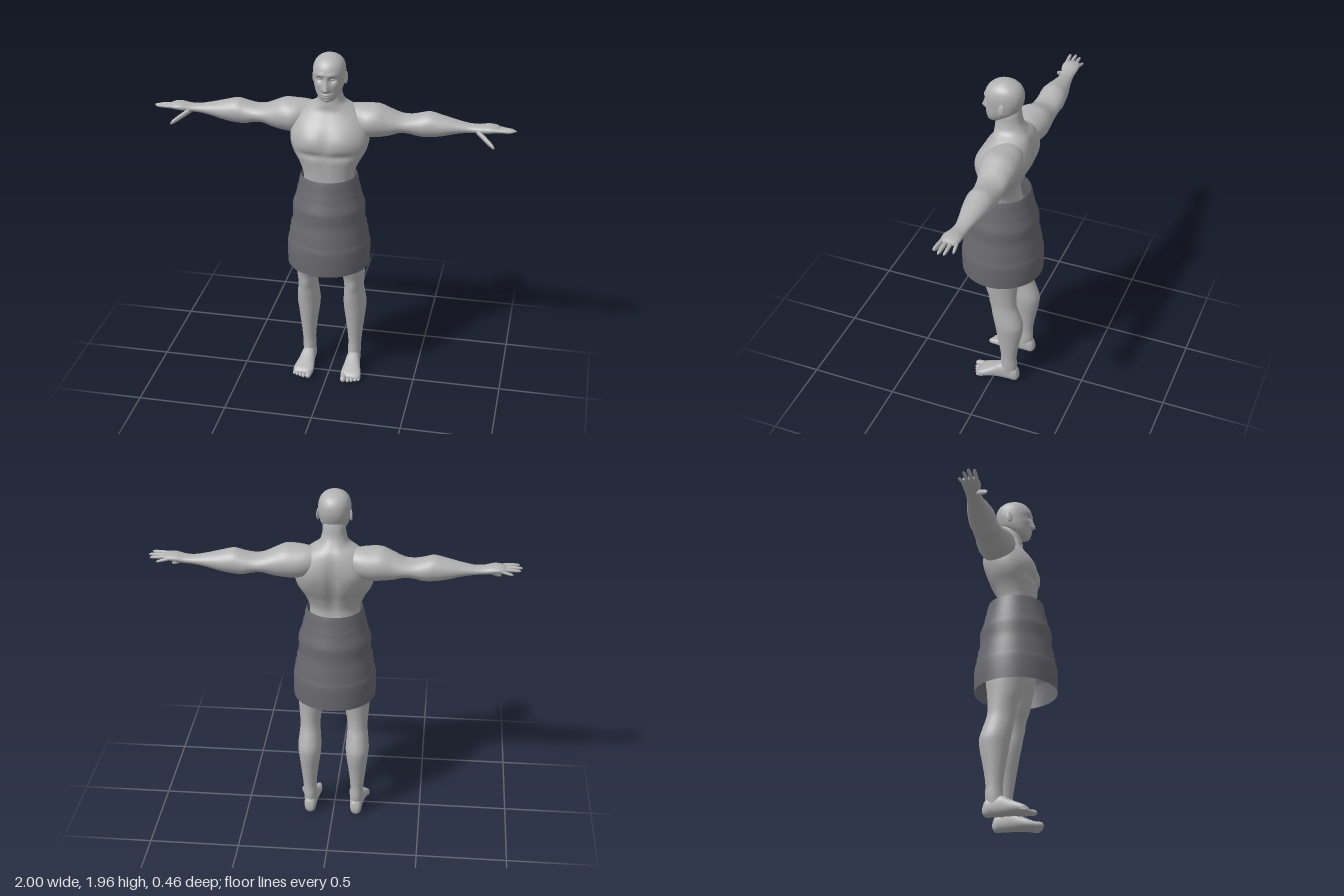
import * as THREE from 'three';

const skin = new THREE.MeshStandardMaterial({ color: 0xb2b2b2 });
skin.name = 'skin grey';
const cloth = new THREE.MeshStandardMaterial({ color: 0x69686e, side: THREE.DoubleSide });
cloth.name = 'cloth dark grey';

// Soft bump centred on zero
const bump = (d, w) => Math.exp(-(d * d) / (w * w));

// Smooth body through box-bounded sections [s, aMin, aMax, bMin, bMax] along an axis.
// Axis x: a = y, b = z.  Axis y: a = x, b = z.  Axis z: a = x, b = y.
function loft(name, axis, rows, { side = 1, power = 2, radial = 32, steps = 5, shape } = {}) {
  const curve = new THREE.CubicInterpolant(rows.map(r => r[0]), rows.flatMap(r => r.slice(1)), 4);
  const pos = [], index = [];
  const put = (s, a, b) => {
    const p = axis === 'x' ? new THREE.Vector3(s, a, b)
      : axis === 'y' ? new THREE.Vector3(a, s, b) : new THREE.Vector3(a, b, s);
    if (shape) shape(p);
    pos.push(p.x * side, p.y, p.z);
  };
  const sampled = [];
  for (let i = 0; i < rows.length - 1; i++)
    for (let k = 0; k < steps; k++) sampled.push(THREE.MathUtils.lerp(rows[i][0], rows[i + 1][0], k / steps));
  sampled.push(rows[rows.length - 1][0]);
  const round = v => Math.sign(v) * Math.abs(v) ** (2 / power);
  for (const s of sampled) {
    const [a0, a1, b0, b1] = curve.evaluate(s);
    for (let j = 0; j < radial; j++) {
      const t = j / radial * Math.PI * 2;
      put(s, (a0 + a1) / 2 + (a1 - a0) / 2 * round(Math.cos(t)), (b0 + b1) / 2 + (b1 - b0) / 2 * round(Math.sin(t)));
    }
  }
  const flip = (axis === 'y') !== (side < 0);
  const tri = (a, b, c) => flip ? index.push(a, c, b) : index.push(a, b, c);
  const n = sampled.length;
  for (let i = 0; i < n - 1; i++)
    for (let j = 0; j < radial; j++) {
      const k = (j + 1) % radial, p = i * radial, q = p + radial;
      tri(p + j, p + k, q + j);
      tri(p + k, q + k, q + j);
    }
  // End caps
  for (const r of [rows[0], rows[rows.length - 1]]) put(r[0], (r[1] + r[2]) / 2, (r[3] + r[4]) / 2);
  for (let j = 0; j < radial; j++) {
    const k = (j + 1) % radial, q = (n - 1) * radial;
    tri(n * radial, k, j);
    tri(n * radial + 1, q + j, q + k);
  }
  const geo = new THREE.BufferGeometry();
  geo.setAttribute('position', new THREE.Float32BufferAttribute(pos, 3));
  geo.setIndex(index);
  geo.computeVertexNormals();
  const mesh = new THREE.Mesh(geo, skin);
  mesh.name = name;
  return mesh;
}

// Tapered finger or toe with a rounded tip
function digit(name, axis, from, to, r, side) {
  const rows = [[0, 1], [0.45, 0.95], [0.8, 0.82], [0.95, 0.5], [1, 0.12]].map(([t, k]) => {
    const [x, y, z] = from.map((v, i) => v + (to[i] - v) * t), w = r * k;
    return axis === 'x' ? [x, y - w, y + w, z - w, z + w] : [z, x - w, x + w, y - w, y + w];
  });
  return loft(name, axis, rows, { side, radial: 12, steps: 3 });
}

function ball(name, x, y, z, sx, sy, sz) {
  const mesh = new THREE.Mesh(new THREE.SphereGeometry(1, 20, 14), skin);
  mesh.name = name;
  mesh.position.set(x, y, z);
  mesh.scale.set(sx, sy, sz);
  return mesh;
}

// Chest, belly and back muscles
function shapeTorso(p) {
  const x = Math.abs(p.x), y = p.y;
  if (p.z > 0) {
    const f = Math.min(1, p.z / 0.05);
    p.z += f * (0.012 * bump(x - 0.09, 0.07) * bump(y - 1.5, 0.06) - 0.012 * bump(y - 1.415, 0.02) * bump(x - 0.08, 0.09)
      - 0.007 * bump(x, 0.016) * bump(y - 1.46, 0.13));
  } else {
    const f = Math.min(1, -p.z / 0.05);
    p.z += f * (0.02 * bump(x, 0.025) * bump(y - 1.45, 0.16) - 0.01 * bump(x - 0.11, 0.05) * bump(y - 1.52, 0.07));
  }
}

// Brow, eye sockets, nose, lips and chin
function shapeHead(p) {
  const x = Math.abs(p.x), y = p.y;
  if (p.z < 0.03) return;
  const f = Math.min(1, (p.z - 0.03) / 0.03);
  const noseRise = y > 1.785 ? Math.max(0, 1 - (y - 1.785) / 0.075) : Math.max(0, 1 - (1.785 - y) / 0.018);
  p.z += f * (0.03 * noseRise * bump(x, 0.011 + 0.007 * noseRise)
    - 0.016 * bump(x - 0.033, 0.019) * bump(y - 1.842, 0.015)
    + 0.006 * bump(x - 0.03, 0.03) * bump(y - 1.868, 0.011)
    + 0.005 * bump(x - 0.048, 0.018) * bump(y - 1.81, 0.02)
    + 0.009 * bump(x, 0.024) * (bump(y - 1.758, 0.006) + bump(y - 1.744, 0.006))
    + 0.007 * bump(x, 0.022) * bump(y - 1.724, 0.011));
}

// Kneecap and shin
function shapeLeg(p) {
  if (p.z > -0.05) p.z += 0.01 * bump(p.x - 0.135, 0.03) * bump(p.y - 0.57, 0.04);
}

function addArm(group, side) {
  const word = side > 0 ? 'left' : 'right';
  group.add(loft(word + 'Arm', 'x', [
    [0.07, 1.54, 1.65, -0.14, -0.03], [0.14, 1.5, 1.663, -0.168, 0.01], [0.2, 1.485, 1.667, -0.178, 0.035],
    [0.26, 1.487, 1.667, -0.177, 0.03], [0.32, 1.497, 1.642, -0.17, 0.012], [0.38, 1.515, 1.617, -0.168, -0.005],
    [0.43, 1.512, 1.615, -0.166, -0.012], [0.48, 1.5, 1.626, -0.167, -0.015], [0.53, 1.499, 1.638, -0.164, -0.014],
    [0.6, 1.51, 1.623, -0.155, -0.02], [0.68, 1.53, 1.603, -0.138, -0.036], [0.75, 1.542, 1.59, -0.126, -0.046],
    [0.8, 1.545, 1.59, -0.123, -0.04], [0.85, 1.551, 1.598, -0.126, -0.028], [0.89, 1.558, 1.594, -0.123, -0.03],
    [0.91, 1.567, 1.586, -0.112, -0.04]], { side }));
  [['littleFinger', -0.113, -0.122, 0.95, 1.558, 0.0095], ['ringFinger', -0.09, -0.09, 0.99, 1.568, 0.0105],
    ['middleFinger', -0.066, -0.063, 1, 1.574, 0.0115], ['indexFinger', -0.042, -0.034, 0.985, 1.58, 0.011]]
    .forEach(([n, z0, z1, x, y, r]) => group.add(digit(word + n, 'x', [0.87, 1.576, z0], [x, y, z1], r, side)));
  group.add(digit(word + 'Thumb', 'x', [0.79, 1.562, -0.055], [0.893, 1.496, 0.01], 0.0175, side));
}

function addLeg(group, side) {
  const word = side > 0 ? 'left' : 'right';
  group.add(loft(word + 'Leg', 'y', [
    [0.05, 0.098, 0.168, -0.135, -0.035], [0.11, 0.096, 0.172, -0.14, -0.042], [0.17, 0.098, 0.174, -0.137, -0.044],
    [0.3, 0.085, 0.188, -0.156, -0.026], [0.37, 0.075, 0.196, -0.17, -0.014], [0.43, 0.07, 0.202, -0.174, -0.004],
    [0.5, 0.074, 0.196, -0.154, 0.01], [0.56, 0.078, 0.191, -0.134, 0.015], [0.62, 0.072, 0.194, -0.13, 0.03],
    [0.68, 0.056, 0.199, -0.134, 0.052], [0.75, 0.038, 0.204, -0.142, 0.068], [0.85, 0.012, 0.205, -0.15, 0.09],
    [0.95, 0.005, 0.18, -0.14, 0.09], [1.02, 0.03, 0.14, -0.1, 0.07]], { side, shape: shapeLeg }));
  group.add(loft(word + 'Foot', 'z', [
    [-0.152, 0.118, 0.148, 0.02, 0.05], [-0.142, 0.106, 0.16, 0.004, 0.08], [-0.1, 0.098, 0.168, 0, 0.105],
    [-0.05, 0.094, 0.174, 0, 0.112], [0, 0.088, 0.184, 0.002, 0.085], [0.05, 0.082, 0.198, 0, 0.06],
    [0.08, 0.084, 0.198, 0, 0.045], [0.098, 0.095, 0.185, 0.008, 0.03]], { side, power: 2.4 }));
  [[0.102, 0.132, 0.019], [0.129, 0.126, 0.0135], [0.15, 0.118, 0.0125], [0.17, 0.109, 0.012], [0.188, 0.098, 0.0115]]
    .forEach(([x, z, r], i) => group.add(digit(word + 'Toe' + (i + 1), 'z', [x, r + 0.006, 0.055], [x + 0.002, r, z], r, side)));
}

export function createModel() {
  const group = new THREE.Group();
  group.name = 'figure';

  // Torso from hips up to neck
  const both = ([y, w, back, front]) => [y, -w, w, back, front];
  group.add(loft('torso', 'y', [
    [0.85, 0.05, -0.07, 0.03], [0.9, 0.12, -0.12, 0.075], [1, 0.165, -0.14, 0.1], [1.15, 0.15, -0.105, 0.105],
    [1.28, 0.138, -0.088, 0.11], [1.35, 0.163, -0.11, 0.116], [1.42, 0.202, -0.145, 0.125], [1.48, 0.216, -0.166, 0.125],
    [1.55, 0.21, -0.176, 0.1], [1.61, 0.18, -0.17, 0.064], [1.65, 0.135, -0.155, 0.042], [1.68, 0.085, -0.134, 0.04],
    [1.72, 0.066, -0.112, 0.037], [1.78, 0.06, -0.1, 0.03], [1.82, 0.05, -0.09, 0.02]].map(both),
  { power: 2.25, radial: 64, steps: 6, shape: shapeTorso }));

  // Head
  group.add(loft('head', 'y', [
    [1.712, 0.016, 0.03, 0.066], [1.72, 0.034, 0.01, 0.076], [1.745, 0.058, -0.035, 0.084], [1.78, 0.075, -0.083, 0.088],
    [1.82, 0.083, -0.106, 0.09], [1.86, 0.087, -0.115, 0.095], [1.9, 0.083, -0.11, 0.088], [1.93, 0.068, -0.09, 0.066],
    [1.948, 0.046, -0.062, 0.038], [1.957, 0.025, -0.035, 0.012], [1.96, 0.006, -0.015, -0.005]].map(both),
  { power: 2.15, radial: 96, steps: 8, shape: shapeHead }));

  for (const side of [1, -1]) {
    const word = side > 0 ? 'left' : 'right';
    group.add(ball(word + 'Eye', side * 0.032, 1.843, 0.066, 0.014, 0.009, 0.012));
    const ear = ball(word + 'Ear', side * 0.087, 1.825, -0.022, 0.008, 0.034, 0.019);
    ear.rotation.set(-0.15, side * -0.3, 0);
    group.add(ear);
    addArm(group, side);
    addLeg(group, side);
  }

  // Wrapped skirt with soft horizontal folds
  const profile = [[0.23, 0.745], [0.232, 0.8], [0.231, 0.87], [0.226, 0.9], [0.219, 0.915], [0.22, 0.94], [0.211, 0.965],
    [0.212, 0.985], [0.203, 1.005], [0.2, 1.05], [0.202, 1.09], [0.197, 1.115], [0.186, 1.145], [0.178, 1.175],
    [0.174, 1.2], [0.167, 1.215], [0.163, 1.25], [0.154, 1.28]].map(([r, y]) => new THREE.Vector2(r, y));
  const skirt = new THREE.Mesh(new THREE.LatheGeometry(profile, 64), cloth);
  skirt.name = 'skirt';
  group.add(skirt);
  return group;
}
